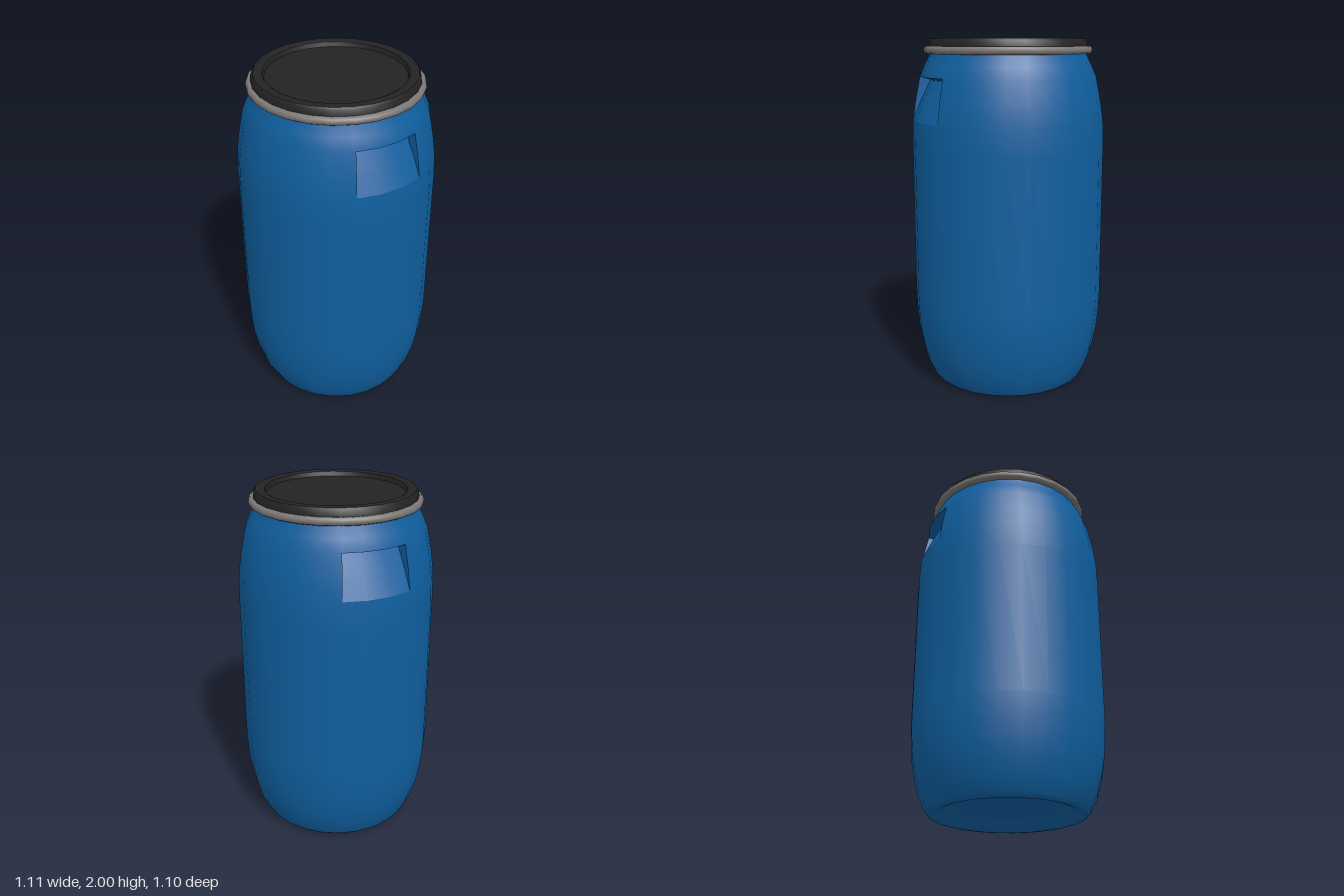
import * as THREE from 'three';
import { toCreasedNormals } from 'three/addons/utils/BufferGeometryUtils.js';

const SIDES = 26;
const STEP = (Math.PI * 2) / SIDES;

const blue = new THREE.MeshStandardMaterial({ color: 0x0f5f9f });
blue.name = 'blue plastic';
const black = new THREE.MeshStandardMaterial({ color: 0x232323 });
black.name = 'black lid';
const grey = new THREE.MeshStandardMaterial({ color: 0x7c7876 });
grey.name = 'grey metal';

function lathe(points) {
  // flats face front and back
  return new THREE.LatheGeometry(points.map(([r, y]) => new THREE.Vector2(r, y)), SIDES, STEP / 2);
}

function addMesh(group, name, geometry, material) {
  const mesh = new THREE.Mesh(geometry, material);
  mesh.name = name;
  group.add(mesh);
  return mesh;
}

// Barrel wall from the sunken base up to the neck
const PROFILE = [
  [0, 0.07], [0.3, 0.07], [0.34, 0.045], [0.375, 0.012], [0.41, 0], [0.435, 0.003], [0.452, 0.018],
  [0.492, 0.1], [0.52, 0.2], [0.539, 0.3], [0.55, 0.42], [0.554, 0.52], [0.554, 1.4], [0.549, 1.54],
  [0.533, 1.65], [0.506, 1.785], [0.478, 1.85], [0.448, 1.91], [0.44, 1.95],
];
const GRIP_ROW = PROFILE.findIndex((p) => p[1] === 1.54);
const GRIP_ROWS = 2;

// Barrel with a three-facet opening left at front and back for the grips
function barrelGeometry() {
  const geometry = lathe(PROFILE);
  const rows = PROFILE.length - 1;
  const open = [SIDES - 2, SIDES - 1, 0, SIDES / 2 - 2, SIDES / 2 - 1, SIDES / 2];
  const source = geometry.index.array;
  const kept = [];
  for (let i = 0; i < SIDES; i++) {
    for (let j = 0; j < rows; j++) {
      if (open.includes(i) && j >= GRIP_ROW && j < GRIP_ROW + GRIP_ROWS) continue;
      const start = (i * rows + j) * 6;
      for (let k = 0; k < 6; k++) kept.push(source[start + k]);
    }
  }
  geometry.setIndex(kept);
  return geometry;
}

// Hand grip: a pocket that deepens upward and ends under an overhanging lip
function gripGeometry() {
  const [foot, middle, lip] = PROFILE.slice(GRIP_ROW, GRIP_ROW + 3);
  const outer = [foot, middle, lip, lip];
  const inner = [foot, [0.5, 1.65], [0.44, 1.768], lip];
  const columns = [-1.5, -1.5, -0.5, 0.5, 1.5, 1.5];
  const positions = [];
  const index = [];
  outer.forEach((edge, row) => {
    columns.forEach((c, col) => {
      const onRim = col === 0 || col === columns.length - 1;
      const [r, y] = onRim ? edge : inner[row];
      // the pocket keeps nearly the full width of the opening
      const width = onRim ? r : (r + edge[0]) / 2;
      positions.push(width * Math.sin(c * STEP), y, r * Math.cos(c * STEP));
    });
  });
  const n = columns.length;
  for (let row = 0; row < 3; row++) {
    for (let col = 0; col < n - 1; col++) {
      const a = row * n + col;
      index.push(a, a + 1, a + n, a + n + 1, a + n, a + 1);
    }
  }
  const geometry = new THREE.BufferGeometry();
  geometry.setAttribute('position', new THREE.Float32BufferAttribute(positions, 3));
  geometry.setIndex(index);
  return toCreasedNormals(geometry, 0.7);
}

export function createModel() {
  const model = new THREE.Group();
  model.name = 'barrel';

  addMesh(model, 'barrelBody', barrelGeometry(), blue);

  const grip = gripGeometry();
  addMesh(model, 'frontGrip', grip, blue);
  addMesh(model, 'backGrip', grip, blue).rotation.y = Math.PI;

  // Lid with a raised rim around a sunken centre
  const lid = lathe([
    [0.43, 1.93], [0.455, 1.945], [0.45, 1.985], [0.44, 1.998], [0.43, 2],
    [0.4, 2], [0.39, 1.995], [0.382, 1.97], [0, 1.97],
  ]);
  addMesh(model, 'lid', toCreasedNormals(lid, 0.7), black);

  // Clamping ring, a rounded closed band
  const band = lathe([
    [0.44, 1.915], [0.466, 1.913], [0.477, 1.92], [0.481, 1.934],
    [0.477, 1.948], [0.466, 1.956], [0.44, 1.955],
  ]);
  addMesh(model, 'clampRing', band, grey);

  return model;
}
